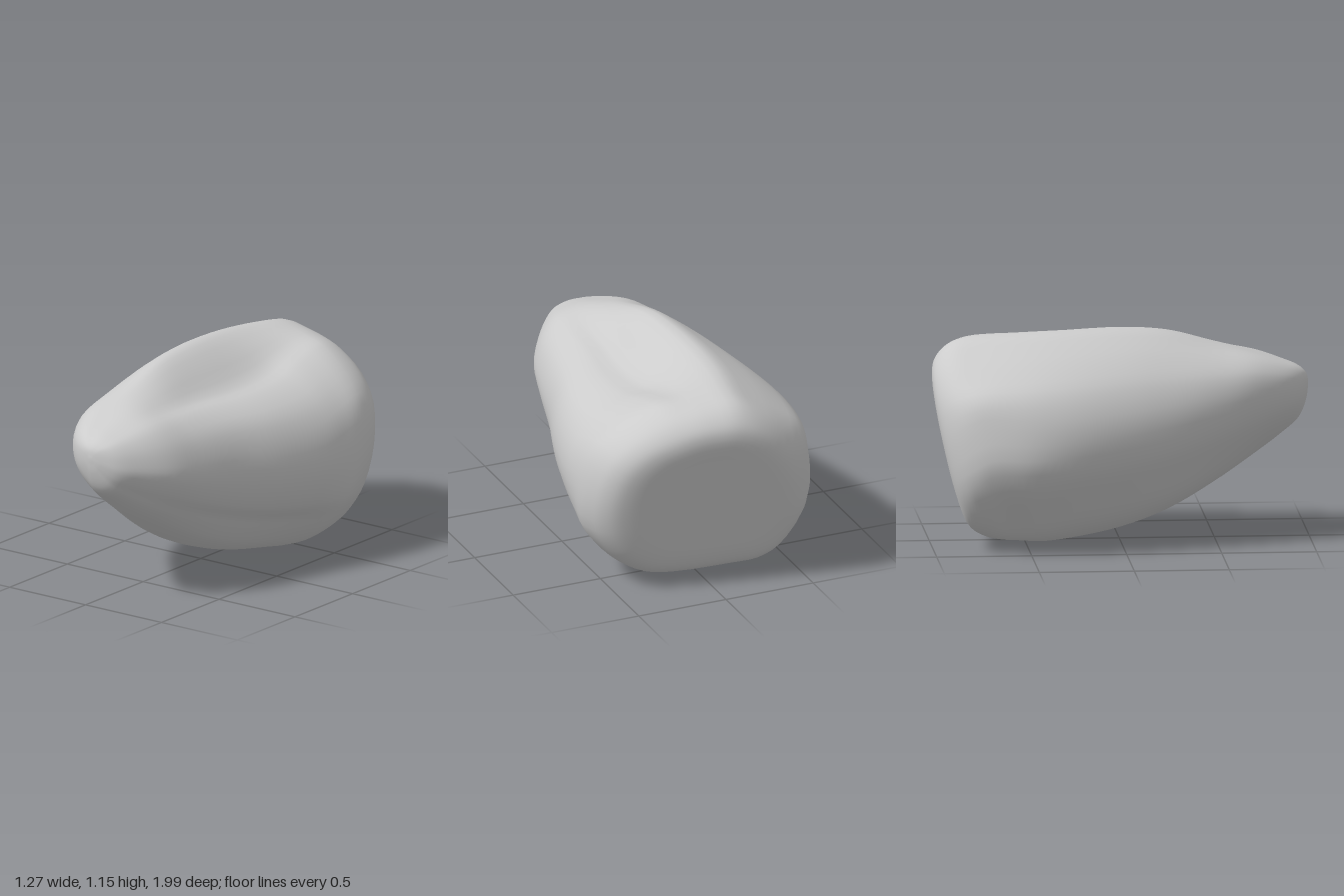
import * as THREE from 'three';
import { mergeVertices } from 'three/addons/utils/BufferGeometryUtils.js';

// Outlines (x, y pairs), clockwise from the top ridge.
const FACE = [-.1,.95, 0,.95, .1,.94, .2,.91, .33,.85, .43,.74, .47,.57, .45,.4, .4,.29, .34,.22,
  .24,.16, .12,.14, -.15,.15, -.27,.16, -.36,.21, -.43,.36, -.42,.55, -.37,.71, -.3,.82, -.2,.91];
const BACK = [-.13,1.13, .02,1.115, .13,1.095, .26,1.07, .45,.96, .575,.82, .625,.58, .6,.35, .51,.21, .4,.1,
  .27,.025, .14,.005, -.2,.03, -.34,.06, -.46,.19, -.63,.45, -.61,.7, -.56,.85, -.44,.95, -.27,1.06];
const MIDDLE = [-.13,1.15, .01,1.08, .16,.965, .3,.94, .44,.86, .52,.72, .54,.55, .485,.38, .41,.3, .36,.225,
  .27,.13, .1,.075, -.15,.09, -.3,.17, -.42,.33, -.52,.5, -.54,.7, -.48,.87, -.38,.985, -.26,1.08];
const TIP = [-.07,1, .03,1, .13,.98, .22,.945, .29,.87, .33,.78, .345,.69, .31,.6, .26,.54, .22,.49,
  .16,.45, .08,.43, -.02,.44, -.1,.49, -.19,.57, -.26,.67, -.29,.79, -.275,.9, -.22,.965, -.15,.995];

// Rings from the break face to the tip: z, left, right, bottom, top, slant
const RINGS = [
  [-.9, .03, .03, .56, .56, 1],
  [-.9, -.2, .28, .36, .76, 1],
  [-.9, -.37, .44, .18, .9, 1],
  [-.875, -.45, .53, .095, .97, 1],
  [-.82, -.515, .585, .05, 1.03, 1],
  [-.745, -.565, .612, .025, 1.075, 1],
  [-.64, -.605, .625, .01, 1.105, .9],
  [-.48, -.63, .62, .005, 1.125, .45],
  [-.3, -.615, .605, .02, 1.14, .12],
  [0, -.54, .54, .075, 1.15, 0],
  [.25, -.46, .46, .165, 1.13, 0],
  [.5, -.37, .40, .3, 1.06, 0],
  [.7, -.29, .345, .43, 1.0, 0],
  [.86, -.2, .25, .55, .945, 0],
  [.95, -.11, .17, .63, .905, 0],
  [.99, -.035, .08, .73, .865, 0],
  [1, .02, .02, .81, .81, 0],
];

// Blends neighbouring outlines for a given z.
function outlineAt(z) {
  const { clamp, smoothstep } = THREE.MathUtils;
  const [a, b, w] = z < -.64 ? [FACE, BACK, clamp((z + .88) / .24, 0, 1)]
    : z < 0 ? [BACK, MIDDLE, clamp((z + .64) / .44, 0, 1)]
      : [MIDDLE, TIP, smoothstep(z, .15, .75)];
  return a.map((v, i) => v + (b[i] - v) * w);
}

// Fits the blended outline into the ring's limits and tilts it with the break face.
function makeRing([z, left, right, bottom, top, slant]) {
  const outline = outlineAt(z);
  const xs = outline.filter((_, i) => i % 2 === 0), ys = outline.filter((_, i) => i % 2 === 1);
  const fit = (v, list, lo, hi) => THREE.MathUtils.mapLinear(v, Math.min(...list), Math.max(...list), lo, hi);
  return xs.map((px, i) => {
    const x = fit(px, xs, left, right), y = fit(ys[i], ys, bottom, top);
    return new THREE.Vector3(x, y, z + slant * (.16 * x - .25 * (y - .6)));
  });
}

// Smooth skin through the rings
function rockGeometry(rows = 64, sides = 60) {
  const rings = RINGS.map(makeRing);
  const columns = rings[0].map((_, k) => new THREE.CatmullRomCurve3(rings.map((r) => r[k])));
  const positions = [], index = [];
  for (let i = 0; i <= rows; i++) {
    const loop = new THREE.CatmullRomCurve3(columns.map((c) => c.getPoint(i / rows)), true);
    const pole = i === 0 || i === rows;
    for (let j = 0; j < sides; j++) {
      const p = pole ? loop.points[0] : loop.getPoint(j / sides);
      positions.push(p.x, p.y, p.z);
      if (i === rows) continue;
      const a = i * sides + j, b = i * sides + (j + 1) % sides;
      // One triangle per side at each pole, two elsewhere
      if (i < rows - 1) index.push(a, a + sides, b + sides);
      if (i > 0) index.push(a, b + sides, b);
    }
  }
  const geometry = new THREE.BufferGeometry();
  geometry.setAttribute('position', new THREE.Float32BufferAttribute(positions, 3));
  geometry.setIndex(index);
  const welded = mergeVertices(geometry, 1e-5);
  welded.computeVertexNormals();
  return welded;
}

export function createModel() {
  const group = new THREE.Group();
  group.name = 'boulder';
  const rock = new THREE.Mesh(rockGeometry(), new THREE.MeshStandardMaterial({ color: 0xcccccc }));
  rock.name = 'rock';
  // Rest on the ground, centred
  const box = new THREE.Box3().setFromObject(rock);
  const c = box.getCenter(new THREE.Vector3());
  rock.position.set(-c.x, -box.min.y, -c.z);
  group.add(rock);
  return group;
}
